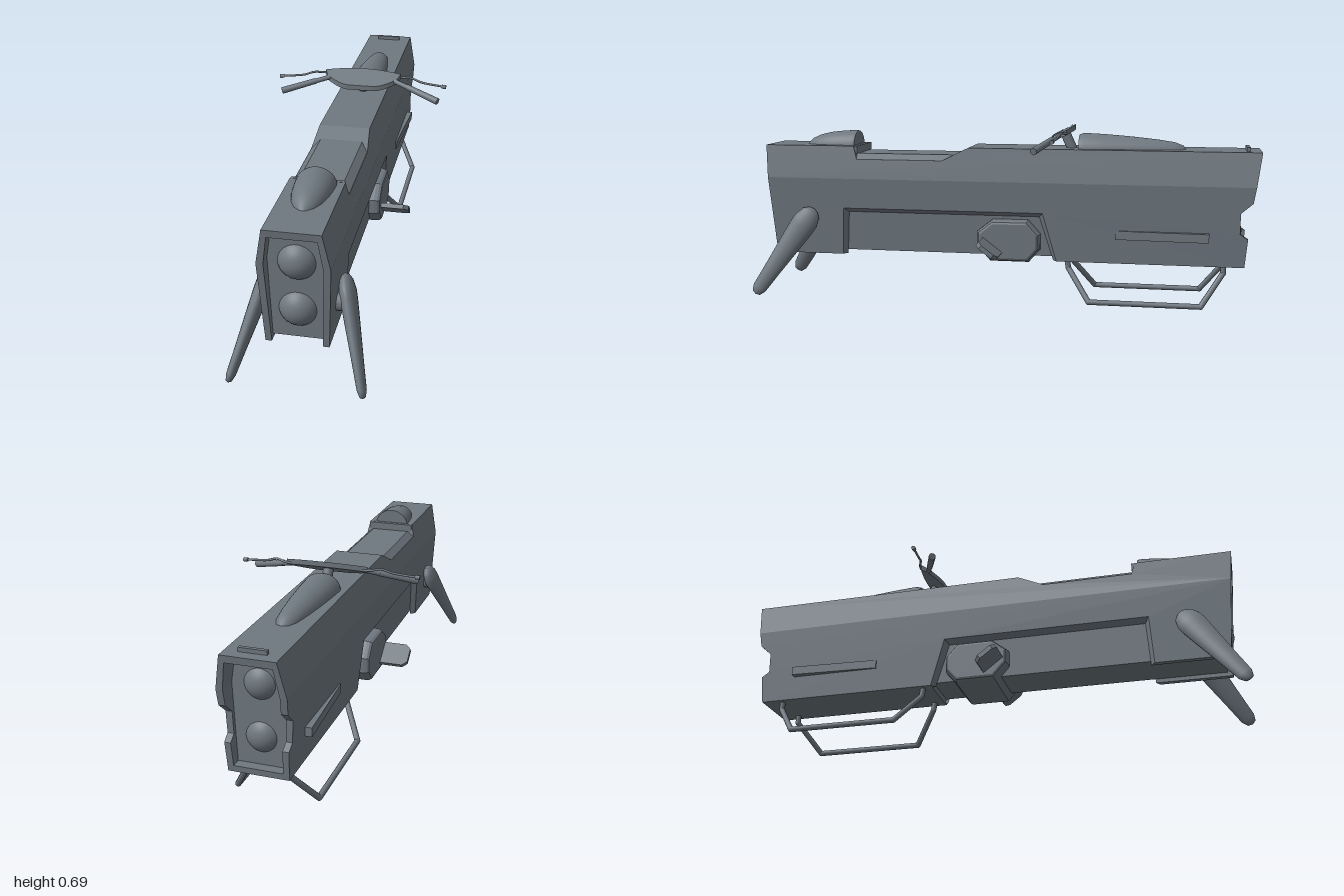
import * as THREE from 'three';

const steel = new THREE.MeshStandardMaterial({ color: 0x6f7880 });
steel.name = 'steelGrey';

const V = (a) => new THREE.Vector3(...a);
const shapeOf = (pts) => new THREE.Shape(pts.map(([a, b]) => new THREE.Vector2(a, b)));

// half-width of the hull at height y
function hullWidth(y) {
  return y > 0.47 ? 0.122 - (y - 0.47) * 0.192 : 0.122 - (0.47 - y) * 0.044;
}

export function createModel() {
  const group = new THREE.Group();
  const add = (name, geo) => {
    const m = new THREE.Mesh(geo, steel);
    m.name = name;
    group.add(m);
    return m;
  };

  // slab with a (z, y) outline, running across the hull from fraction s0 to s1 of its width
  function slab(name, pts, s0, s1) {
    const geo = new THREE.ExtrudeGeometry(shapeOf(pts.map(([z, y]) => [-z, y])), { depth: s1 - s0, bevelEnabled: false });
    geo.rotateY(Math.PI / 2).translate(s0, 0, 0);
    const p = geo.attributes.position;
    for (let i = 0; i < p.count; i++) {
      const s = p.getX(i);
      let y = p.getY(i), z = p.getZ(i);
      // bevel the edge of the side recess towards the inside
      if (s0 * s1 > 0 && Math.abs(s) < 0.85 && y < 0.36 && z < 0.66 && z > -0.23) {
        if (y > 0.3) y -= 0.017;
        z += z > 0 ? -0.015 : 0.015;
      }
      p.setXYZ(i, s * hullWidth(y), y, z);
    }
    geo.computeVertexNormals();
    add(name, geo);
  }

  // straight round bar between two points
  function rod(name, a, b, r0, r1 = r0, sides = 12) {
    const p = V(a), q = V(b), d = q.clone().sub(p);
    const m = add(name, new THREE.CylinderGeometry(r1, r0, d.length(), sides));
    m.position.copy(p).add(q).multiplyScalar(0.5);
    m.quaternion.setFromUnitVectors(new THREE.Vector3(0, 1, 0), d.normalize());
    return m;
  }

  const ball = (name, c, r, w = 28, h = 18) => add(name, new THREE.SphereGeometry(r, w, h)).position.set(...c);

  // hull core: upper and lower bands, set back at both ends behind the rims
  const dip = [[-0.999, 0.6], [0.13, 0.6], [0.234, 0.548], [0.585, 0.548], [0.6, 0.6], [0.97, 0.6]];
  const IN = 0.8;
  slab('upperCore', [...dip, [0.967, 0.573], [0.91, 0.573], [0.91, 0.47], [-0.91, 0.47], [-0.91, 0.573], [-0.995, 0.573]], -IN, IN);
  slab('lowerCore', [[0.91, 0.47], [0.91, 0.176], [-0.91, 0.176], [-0.91, 0.47]], -IN, IN);
  slab('rearFloor', [[-0.225, 0.16], [-0.945, 0.16], [-0.947, 0.183], [-0.215, 0.183]], -IN, IN);

  // side panels with the engine recess and the notch at the tail
  const upperPanel = [...dip, [0.958, 0.47], [-0.98, 0.47]];
  const lowerPanel = [[0.958, 0.47], [0.93, 0.16], [0.65, 0.16], [0.64, 0.35], [-0.17, 0.35], [-0.225, 0.16],
    [-0.945, 0.16], [-0.955, 0.27], [-0.925, 0.29], [-0.925, 0.37], [-0.97, 0.41], [-0.98, 0.47]];
  for (const [s0, s1] of [[IN, 1], [-1, -IN]]) {
    slab('upperSidePanel', upperPanel, s0, s1);
    slab('lowerSidePanel', lowerPanel, s0, s1);
  }

  // sunken seat with chamfered sides
  add('seat', new THREE.ExtrudeGeometry(
    shapeOf([[-0.107, 0.547], [0.107, 0.547], [0.079, 0.57], [-0.079, 0.57]]),
    { depth: 0.445, bevelEnabled: false }).translate(0, 0, 0.15));

  // twin lamps at the nose and twin exhaust domes at the tail
  for (const y of [0.46, 0.283]) ball('headLamp', [0, y, 0.875], 0.073);
  for (const y of [0.475, 0.285]) ball('tailDome', [0, y, -0.865], 0.071);

  // teardrop cowls, half sunk into the deck
  function cowl(name, profile, dir, z, y, ky) {
    const geo = new THREE.LatheGeometry(profile.map(([r, l]) => new THREE.Vector2(r, l)), 36);
    geo.rotateX(dir * Math.PI / 2).scale(1, ky, 1).translate(0, y, z);
    add(name, geo);
  }
  cowl('frontCowl', [[0, 0], [0.071, 0], [0.071, 0], [0.073, 0.01], [0.07, 0.06], [0.064, 0.11], [0.052, 0.16],
    [0.035, 0.195], [0.015, 0.215], [0, 0.22]], 1, 0.607, 0.59, 0.92);
  cowl('rearCowl', [[0, 0], [0.068, 0], [0.068, 0], [0.074, 0.02], [0.07, 0.1], [0.062, 0.2], [0.051, 0.3],
    [0.04, 0.37], [0.025, 0.405], [0, 0.42]], -1, -0.302, 0.59, 0.92);
  add('cowlLip', new THREE.BoxGeometry(0.19, 0.03, 0.012)).position.set(0, 0.585, 0.592);
  add('tailPlate', new THREE.BoxGeometry(0.1, 0.024, 0.014)).position.set(0, 0.603, -0.95);

  // engine block
  const engine = new THREE.ExtrudeGeometry(
    shapeOf([[-0.075, 0.22], [-0.03, 0.17], [0.11, 0.17], [0.145, 0.21], [0.145, 0.26], [0.105, 0.305], [-0.025, 0.305], [-0.075, 0.265]]),
    { depth: 0.22, bevelSize: 0.015, bevelThickness: 0.025, bevelSegments: 3 });
  add('engineBlock', engine.rotateY(Math.PI / 2).translate(-0.11, 0, 0));

  // tilted foot pegs on one cross bar
  const pegs = add('footPegs', new THREE.ExtrudeGeometry(
    shapeOf([[-0.245, -0.03], [-0.225, -0.048], [0.225, -0.048], [0.245, -0.03], [0.245, 0.03], [0.225, 0.048], [-0.225, 0.048], [-0.245, 0.03]]),
    { depth: 0.018, bevelEnabled: false }).rotateX(-Math.PI / 2).translate(0, -0.009, 0));
  pegs.position.set(0, 0.215, 0.03);
  pegs.rotation.x = -0.65;

  // handlebar plate, rising towards the back
  const plateShape = new THREE.Shape();
  plateShape.moveTo(-0.145, 0.238);
  plateShape.quadraticCurveTo(-0.09, 0.197, -0.05, 0.195);
  plateShape.lineTo(0.05, 0.195);
  plateShape.quadraticCurveTo(0.09, 0.197, 0.145, 0.238);
  plateShape.lineTo(0.157, 0.265);
  plateShape.quadraticCurveTo(0, 0.3, -0.157, 0.265);
  const plate = new THREE.ExtrudeGeometry(plateShape, { depth: 0.02, bevelEnabled: false, curveSegments: 10 });
  plate.rotateX(-Math.PI / 2);
  const pp = plate.attributes.position;
  for (let i = 0; i < pp.count; i++) pp.setY(i, pp.getY(i) + 0.625 + (-0.195 - pp.getZ(i)) * 0.5);
  plate.computeVertexNormals();
  add('handlebarPlate', plate);
  rod('handlebarStem', [0, 0.59, -0.275], [0, 0.655, -0.245], 0.02);

  for (const s of [1, -1]) {
    // grips and levers
    rod('gripArm', [s * 0.135, 0.658, -0.238], [s * 0.2, 0.642, -0.212], 0.01);
    rod('grip', [s * 0.19, 0.645, -0.216], [s * 0.322, 0.612, -0.163], 0.012, 0.014);
    const lever = new THREE.CatmullRomCurve3([[0.13, 0.666, -0.265], [0.165, 0.667, -0.265], [0.205, 0.671, -0.25],
      [0.245, 0.659, -0.243], [0.335, 0.65, -0.235]].map(([x, y, z]) => V([s * x, y, z])));
    add('lever', new THREE.TubeGeometry(lever, 24, 0.0045, 8));
    rod('leverTip', [s * 0.33, 0.65, -0.235], [s * 0.347, 0.649, -0.234], 0.008);

    // flattened front legs with round hip joints
    const legProfile = [[0, -0.03], [0.018, -0.024], [0.029, 0], [0.036, 0.1], [0.046, 0.22], [0.052, 0.3],
      [0.052, 0.33], [0.04, 0.365], [0.022, 0.382], [0, 0.388]];
    const leg = add('frontLeg', new THREE.LatheGeometry(legProfile.map(([r, y]) => new THREE.Vector2(r, y)), 20).scale(0.55, 1, 1));
    leg.position.set(s * 0.223, 0.032, 0.967);
    leg.quaternion.setFromUnitVectors(new THREE.Vector3(0, 1, 0), V([s * -0.083, 0.275, -0.18]).normalize());
    rod('hipJoint', [s * 0.09, 0.27, 0.815], [s * 0.145, 0.27, 0.815], 0.036, 0.034, 20);

    // rear stand
    const stand = [[0.078, 0.18, -0.262], [0.078, 0.13, -0.27], [0.151, 0.012, -0.357],
      [0.151, 0.012, -0.785], [0.078, 0.13, -0.868], [0.078, 0.18, -0.868]].map(([x, y, z]) => [s * x, y, z]);
    for (let i = 0; i < stand.length - 1; i++) {
      rod('standBar', stand[i], stand[i + 1], 0.011);
      if (i) ball('standJoint', stand[i], 0.0112, 12, 8);
    }

    // wedge fin on the flank, thicker at the back
    add('sideFin', new THREE.ExtrudeGeometry(
      shapeOf([[s * 0.1, 0.455], [s * 0.119, 0.455], [s * 0.138, 0.81], [s * 0.1, 0.81]]),
      { depth: 0.034, bevelEnabled: false }).rotateX(-Math.PI / 2).translate(0, 0.256, 0));
  }
  return group;
}
